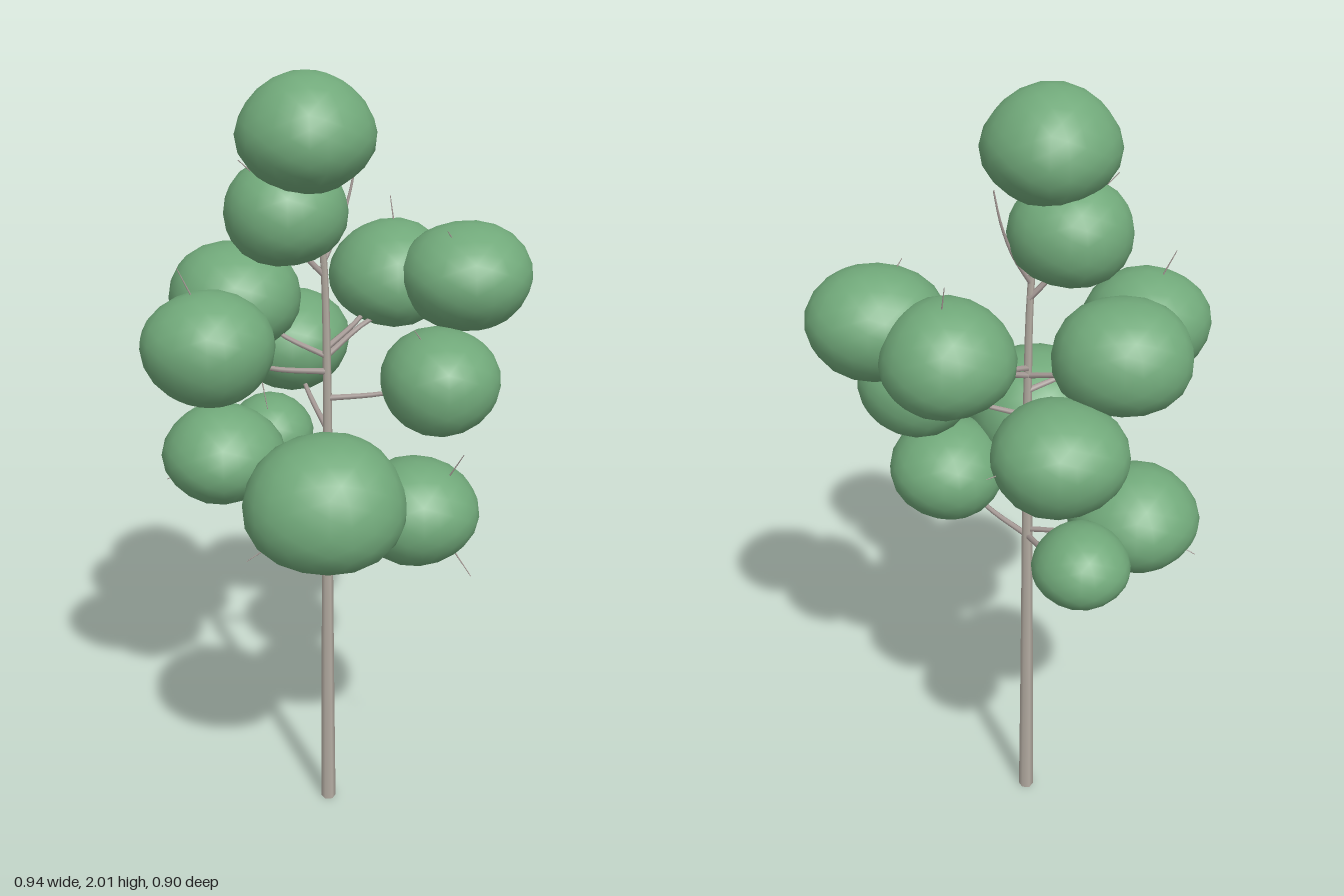
import * as THREE from 'three';
import { mergeVertices } from 'three/addons/utils/BufferGeometryUtils.js';

const V = (p) => new THREE.Vector3(...p);

// Smooth tube along a path whose radius shrinks from r0 to r1
function taperedLimb(points, r0, r1, segments, sides) {
  const curve = new THREE.CatmullRomCurve3(points.map(V));
  const geo = new THREE.TubeGeometry(curve, segments, 1, sides);
  const pos = geo.attributes.position;
  const p = new THREE.Vector3();
  for (let i = 0; i <= segments; i++) {
    const t = i / segments;
    const c = curve.getPointAt(t);
    const r = r0 + (r1 - r0) * t;
    for (let j = 0; j <= sides; j++) {
      const k = i * (sides + 1) + j;
      p.fromBufferAttribute(pos, k).sub(c).multiplyScalar(r).add(c);
      pos.setXYZ(k, p.x, p.y, p.z);
    }
  }
  return geo;
}

// Lumpy, softly shaded ball of leaves
function leafBall(rx, ry, rz, seed) {
  let geo = new THREE.IcosahedronGeometry(1, 3);
  geo.deleteAttribute('normal');
  geo.deleteAttribute('uv');
  geo = mergeVertices(geo, 1e-4);
  const pos = geo.attributes.position;
  const p = new THREE.Vector3();
  for (let i = 0; i < pos.count; i++) {
    p.fromBufferAttribute(pos, i);
    const lump = Math.sin(p.x * 3.9 + seed * 1.7) + Math.sin(p.y * 4.3 + seed * 2.3) + Math.sin(p.z * 4.1 + seed * 0.9);
    p.multiplyScalar(1.005 + 0.016 * lump);
    pos.setXYZ(i, p.x * rx, p.y * ry, p.z * rz);
  }
  geo.computeVertexNormals();
  return geo;
}

export function createModel() {
  const tree = new THREE.Group();
  tree.name = 'tree';
  const bark = new THREE.MeshStandardMaterial({ color: 0xb5ada3 });
  bark.name = 'bark';
  const twigBark = new THREE.MeshStandardMaterial({ color: 0xa89c98 });
  twigBark.name = 'twigBark';
  const leaves = new THREE.MeshStandardMaterial({ color: 0x71a97a });
  leaves.name = 'leaves';

  const add = (name, geo, mat) => {
    const mesh = new THREE.Mesh(geo, mat);
    mesh.name = name;
    tree.add(mesh);
    return mesh;
  };

  // Trunk with a closed foot
  const path = [[-0.037, 0, -0.018], [-0.037, 0.4, -0.018], [-0.036, 0.87, -0.02], [-0.035, 1.25, -0.02], [-0.045, 1.6, -0.015], [-0.08, 1.85, 0.01]];
  add('trunk', taperedLimb(path, 0.02, 0.006, 30, 6), bark);
  const foot = add('trunkFoot', new THREE.CircleGeometry(0.019, 6).rotateX(Math.PI / 2), bark);
  foot.position.set(-0.037, 0.001, -0.018);

  // Foliage: centre, radii, height where its branch leaves the trunk, optional bend, twig tips
  const clusters = [
    { c: [-0.083, 1.867, 0.02], r: [0.157, 0.133, 0.159] },
    { c: [-0.13, 1.68, -0.01], r: [0.143, 0.12, 0.143], from: 1.52, tips: [[-0.235, 1.81, 0.02]] },
    { c: [0.308, 1.49, -0.088], r: [0.158, 0.133, 0.158], from: 1.32, via: [0.08, 1.38, -0.11], tips: [[0.25, 1.62, -0.03]] },
    { c: [0.138, 1.462, -0.207], r: [0.155, 0.131, 0.16], from: 1.34, tips: [[0.137, 1.65, -0.245]] },
    { c: [0.233, 1.27, 0.037], r: [0.15, 0.125, 0.152], from: 1.21, tips: [[0.165, 1.41, 0.06]] },
    { c: [0.172, 0.97, 0.125], r: [0.148, 0.133, 0.153], from: 0.86, tips: [[0.3, 0.82, 0.2], [0.275, 1.14, 0.18]] },
    { c: [-0.06, 1.07, 0.265], r: [0.189, 0.16, 0.188], from: 0.89, tips: [[-0.245, 0.93, 0.28]] },
    { c: [-0.317, 1.4, 0.11], r: [0.156, 0.131, 0.153], from: 1.28, tips: [[-0.38, 1.59, 0.105]] },
    { c: [-0.295, 1.01, -0.148], r: [0.155, 0.128, 0.158], from: 0.88, tips: [[-0.445, 0.925, -0.18]] },
    { c: [-0.252, 1.437, -0.136], r: [0.16, 0.13, 0.162], from: 1.32, tips: [[-0.18, 1.16, -0.08]] },
    { c: [-0.114, 1.263, -0.295], r: [0.157, 0.129, 0.158], from: 1.13, tips: [[0.045, 1.26, -0.39]] },
    { c: [-0.168, 0.993, -0.328], r: [0.117, 0.094, 0.117], from: 0.86 },
  ];
  clusters.forEach(({ c, r, from, via, tips = [] }, i) => {
    add('leafCluster' + (i + 1), leafBall(...r, i + 1), leaves).position.set(...c);
    if (from) {
      const start = [-0.037, from, -0.02];
      const mid = via ?? start.map((s, k) => s + (c[k] - s) * (k === 1 ? 0.33 : 0.5));
      add('branch' + (i + 1), taperedLimb([start, mid, c], 0.008, 0.004, 10, 6), twigBark);
    }
    for (const tip of tips) {
      const bend = c.map((s, k) => (s + tip[k]) / 2 + (k === 0 ? 0.01 : 0));
      add('twig' + (i + 1), taperedLimb([c, bend, tip], 0.004, 0.001, 6, 5), twigBark);
    }
  });

  // Thin bare shoot beside the crown
  add('topShoot', taperedLimb([[-0.045, 1.55, -0.015], [0.0, 1.64, -0.045], [0.025, 1.72, -0.062], [0.04, 1.8, -0.07]], 0.006, 0.002, 10, 6), twigBark);

  return tree;
}
